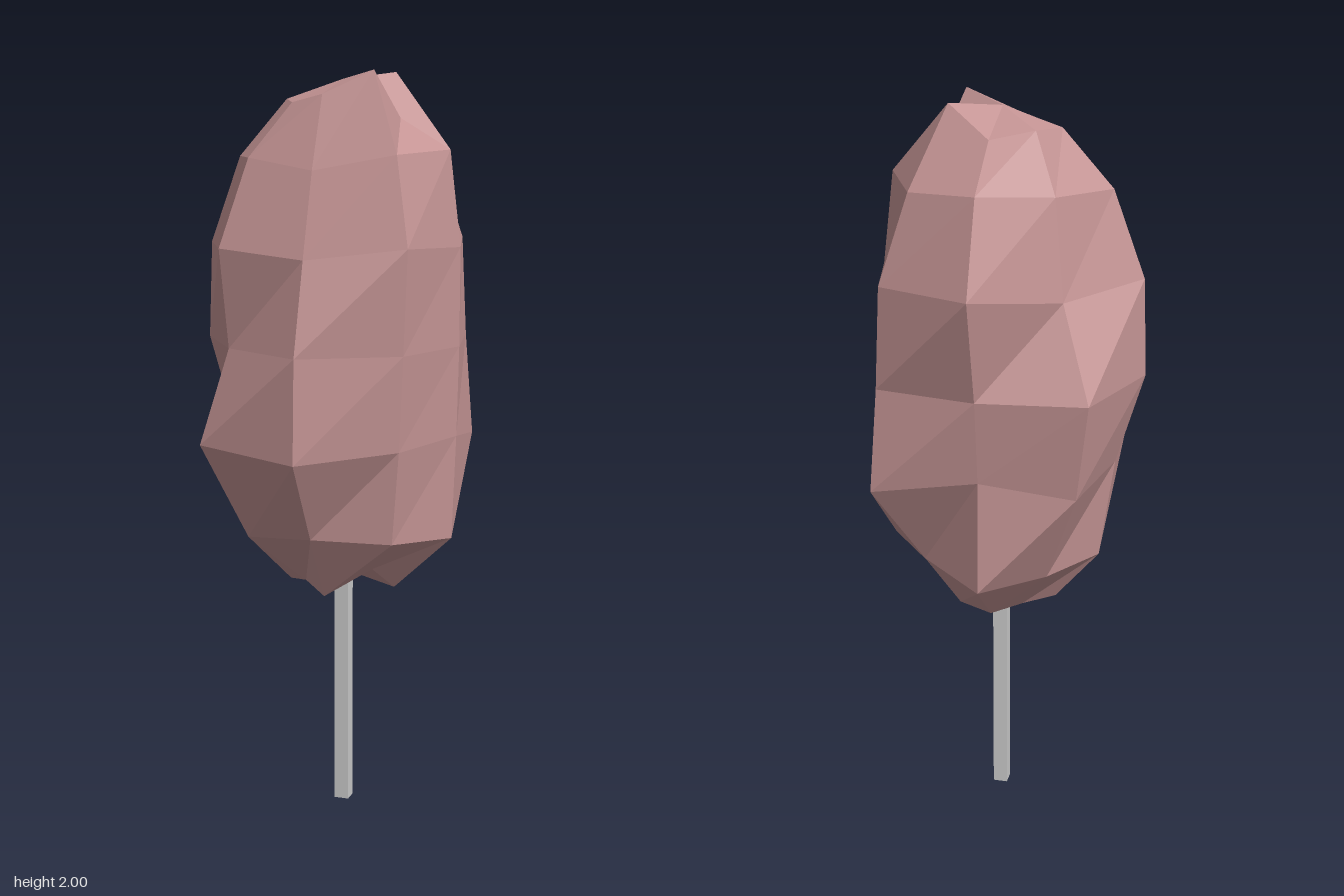
import * as THREE from 'three';

// Eight [radius, height] profiles, one every 45 degrees from +x towards +z
const PROFILES = [
  [[.14, .62], [.25, .78], [.41, 1.01], [.385, 1.29], [.37, 1.56], [.28, 1.79], [.16, 2]],
  [[.15, .62], [.31, .77], [.32, 1.05], [.325, 1.29], [.325, 1.55], [.295, 1.8], [.16, 1.88]],
  [[.18, .7], [.29, .79], [.325, 1.04], [.345, 1.29], [.365, 1.56], [.305, 1.79], [.18, 2]],
  [[.15, .62], [.26, .8], [.39, 1.02], [.38, 1.29], [.31, 1.53], [.24, 1.75], [.16, 1.94]],
  [[.11, .64], [.28, .78], [.415, 1.04], [.33, 1.29], [.355, 1.55], [.27, 1.78], [.145, 1.92]],
  [[.15, .62], [.27, .76], [.31, 1.04], [.385, 1.29], [.375, 1.55], [.29, 1.78], [.155, 1.93]],
  [[.1, .62], [.22, .75], [.355, 1.02], [.405, 1.29], [.285, 1.53], [.245, 1.79], [.155, 1.94]],
  [[.15, .62], [.3, .75], [.29, 1.06], [.32, 1.29], [.39, 1.57], [.3, 1.81], [.155, 1.92]],
];

// Faceted fluff: neighbouring profiles joined, closed at a dimple and a crown
function flossGeometry() {
  const columns = PROFILES.map((p) => [[0, .66], ...p, [0, 1.98]]);
  const n = columns.length;
  const rows = columns[0].length;
  const point = (i, j) => {
    const a = (i / n) * Math.PI * 2;
    const [r, y] = columns[i % n][j];
    return [r * Math.cos(a), y, .02 + r * Math.sin(a)];
  };
  const positions = [];
  for (let i = 0; i < n; i++) {
    for (let j = 0; j < rows - 1; j++) {
      const a = point(i, j), b = point(i + 1, j);
      const c = point(i, j + 1), d = point(i + 1, j + 1);
      if (j > 0) positions.push(...a, ...c, ...b);
      if (j < rows - 2) positions.push(...b, ...c, ...d);
      if (j === 0) continue;
    }
  }
  const geometry = new THREE.BufferGeometry();
  geometry.setAttribute('position', new THREE.Float32BufferAttribute(positions, 3));
  geometry.computeVertexNormals();
  return geometry;
}

export function createModel() {
  const group = new THREE.Group();
  group.name = 'cottonCandy';

  const floss = new THREE.Mesh(
    flossGeometry(),
    new THREE.MeshStandardMaterial({ color: 0xc49494, flatShading: true })
  );
  floss.name = 'floss';

  // Four-sided stick with its corners facing front and sides
  const stick = new THREE.Mesh(
    new THREE.CylinderGeometry(.028, .028, .7, 4),
    new THREE.MeshStandardMaterial({ color: 0xcccccc, flatShading: true })
  );
  stick.name = 'stick';
  stick.position.set(0, .35, .03);

  group.add(floss, stick);
  return group;
}
